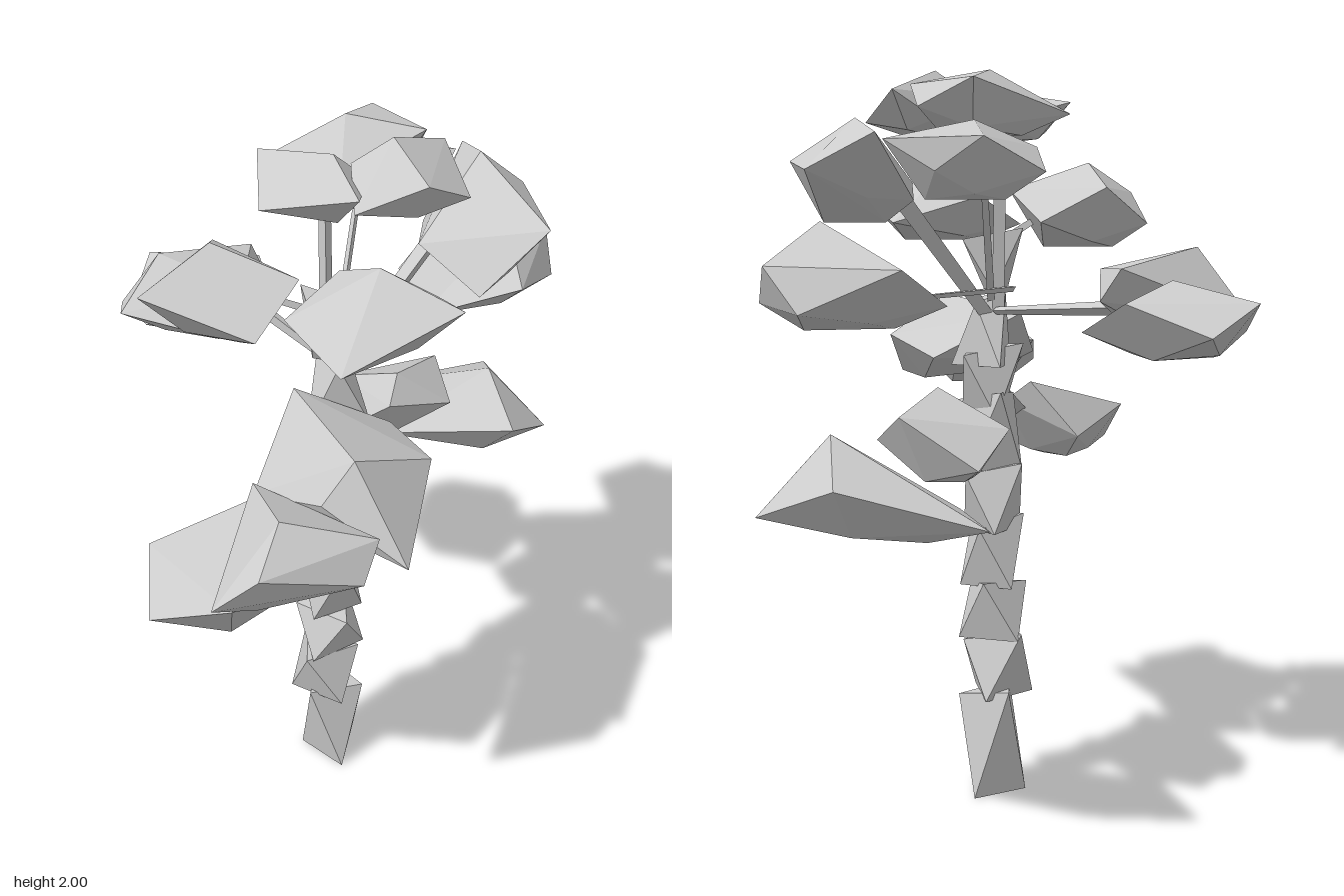
import * as THREE from 'three';
import { ConvexGeometry } from 'three/addons/geometries/ConvexGeometry.js';

const V = (x, y, z) => new THREE.Vector3(x, y, z);

export function createModel() {
  const tree = new THREE.Group();
  tree.name = 'tree';
  const grey = new THREE.MeshStandardMaterial({ color: 0xcccccc });
  grey.name = 'plain grey';

  const add = (points, name) => {
    const mesh = new THREE.Mesh(new ConvexGeometry(points), grey);
    mesh.name = name;
    tree.add(mesh);
  };

  // Faceted leaf clump: footprint [x, z], rim height, peak [x, y, z], floor height,
  // and the rim's slope along x and z. Rim points zigzag down and up in turn.
  const clump = (name, outline, rim, peak, floor, slopeX = 0, slopeZ = 0) => {
    const n = outline.length;
    const cx = outline.reduce((s, p) => s + p[0], 0) / n;
    const cz = outline.reduce((s, p) => s + p[1], 0) / n;
    const height = peak[1] - floor;
    const points = [V(...peak)];
    outline.forEach(([x, z], i) => {
      const tilt = slopeX * (x - cx) + slopeZ * (z - cz);
      const y = rim + (i % 2 ? 0.2 : -0.2) * height + tilt;
      points.push(V(x, THREE.MathUtils.clamp(y, floor, peak[1] - 0.1 * height), z));
      // underside
      points.push(V(cx + (x - cx) * 0.5, floor + Math.max(0, tilt) + 0.06 * height * (i % 3), cz + (z - cz) * 0.5));
    });
    add(points, name);
  };

  // Crown
  clump('crownRight', [[.12, -.10], [.24, -.14], [.28, .06], [.17, .15], [0, .14], [0, 0]], 1.9, [.10, 2.0, .01], 1.83);
  clump('crownBack', [[-.22, -.17], [.08, -.37], [.2, -.28], [.2, -.18], [-.02, -.05]], 1.91, [0, 1.98, -.2], 1.82);
  clump('crownLeft', [[-.02, -.18], [-.22, -.17], [-.22, .07], [.01, .16], [.05, -.1]], 1.88, [-.04, 1.95, -.02], 1.81);

  // Upper tier
  clump('upperRight', [[.21, -.28], [.33, -.45], [.485, -.36], [.485, .03], [.31, .09], [.17, -.03]], 1.71, [.35, 1.85, -.26], 1.6, .2, -.15);
  clump('upperBack', [[-.06, -.52], [.1, -.57], [.2, -.5], [.31, -.43], [.2, -.2], [-.11, -.25]], 1.75, [.08, 1.84, -.38], 1.65);
  clump('upperLeft', [[-.49, -.01], [-.34, -.11], [-.17, -.07], [-.13, .12], [-.24, .26], [-.51, .19]], 1.65, [-.34, 1.77, .06], 1.54);
  clump('upperFront', [[-.17, .15], [-.03, .04], [.21, .05], [.25, .27], [-.05, .43]], 1.64, [.06, 1.74, .16], 1.56);

  // Middle tier
  clump('middleRight', [[.17, -.5], [.3, -.64], [.53, -.62], [.6, -.55], [.6, -.42], [.45, -.08], [.2, -.15]], 1.46, [.45, 1.6, -.36], 1.35, 0, .1);
  clump('middleLeftLower', [[-.6, -.45], [-.55, -.64], [-.4, -.72], [-.23, -.6], [-.18, -.42], [-.36, -.32], [-.55, -.34]], 1.37, [-.38, 1.46, -.51], 1.27);
  clump('middleLeftUpper', [[-.62, -.43], [-.25, -.51], [-.21, -.47], [-.28, -.25], [-.34, -.14], [-.6, -.2]], 1.43, [-.5, 1.54, -.36], 1.33, .12);
  clump('middleFront', [[-.36, .71], [-.26, .34], [-.05, .48], [.03, .58], [-.01, .64], [-.25, .72]], 1.22, [-.2, 1.34, .6], 1.12);
  clump('middleInner', [[-.26, .34], [-.15, .06], [.1, .05], [.18, .3], [.1, .57], [-.1, .48]], 1.26, [-.02, 1.4, .46], 1.16, -.1, -.15);

  // Lower tier
  clump('lowerLeft', [[-.36, .2], [-.15, .25], [-.15, .4], [-.32, .57], [-.53, .47], [-.53, .31]], 1.02, [-.22, 1.15, .22], .9, .05, -.1);
  clump('lowerRightInner', [[0, -.25], [.12, -.17], [.31, -.3], [.28, -.45], [.1, -.52], [0, -.42]], 1.08, [.15, 1.19, -.27], .96, .15, .1);
  clump('lowerRightOuter', [[.11, -.69], [.46, -.64], [.62, -.41], [.49, -.24], [.12, -.4]], .95, [.44, 1.1, -.43], .86);

  // Trunk: stacked twisted three-sided blocks
  // [bottom, top, centre x, centre z, bottom radius, top radius, angle]
  [
    [0, .31, -.06, .015, .095, .095, 1.3],
    [.28, .47, -.08, .03, .1, .1, 1.1],
    [.45, .62, -.065, .025, .1, .095, 2.1],
    [.6, .8, -.06, .025, .09, .09, .1],
    [.76, .95, -.06, .015, .09, .09, .7],
    [.93, 1.15, -.055, .025, .09, .095, 1.5],
    [1.08, 1.28, -.045, .02, .07, .1, .4],
    [1.22, 1.42, -.04, 0, .1, .05, .4],
    [1.42, 1.59, -.065, .015, .035, .095, .9],
  ].forEach(([y0, y1, x, z, r0, r1, turn], i) => {
    const points = [];
    for (let k = 0; k < 6; k++) {
      const a = turn + k * Math.PI / 3;
      const r = k % 2 ? r1 : r0;
      points.push(V(x + r * Math.cos(a), k % 2 ? y1 - .015 * (k % 3) : y0, z + r * Math.sin(a)));
    }
    add(points, 'trunkBlock' + (i + 1));
  });

  // Branches: tapered three-sided rods from start to end
  const branch = (name, start, end, r0, r1) => {
    const a = V(...start), b = V(...end), dir = b.clone().sub(a);
    const mesh = new THREE.Mesh(new THREE.CylinderGeometry(r1, r0, dir.length(), 3).toNonIndexed(), grey);
    mesh.geometry.computeVertexNormals();
    mesh.position.copy(a).add(b).multiplyScalar(0.5);
    mesh.quaternion.setFromUnitVectors(V(0, 1, 0), dir.normalize());
    mesh.name = name;
    tree.add(mesh);
  };
  branch('topStem', [-.06, 1.36, -.03], [-.06, 1.87, -.06], .02, .018);
  branch('upperBackBranch', [-.04, 1.4, -.04], [.03, 1.7, -.26], .012, .01);
  branch('upperRightBranch', [-.03, 1.36, -.03], [.22, 1.66, -.15], .02, .025);
  branch('upperLeftBranch', [-.06, 1.54, .02], [-.2, 1.62, .07], .012, .01);
  branch('middleRightBranch', [-.1, 1.43, -.05], [.3, 1.41, -.34], .01, .006);
  branch('middleLeftBranch', [-.05, 1.37, -.05], [-.28, 1.39, -.4], .012, .022);
  branch('lowerLeftBranch', [-.04, 1.2, .04], [-.24, 1.03, .32], .03, .025);
  branch('lowerRightBranch', [-.03, 1.0, -.04], [.12, 1.05, -.27], .014, .01);

  return tree;
}
